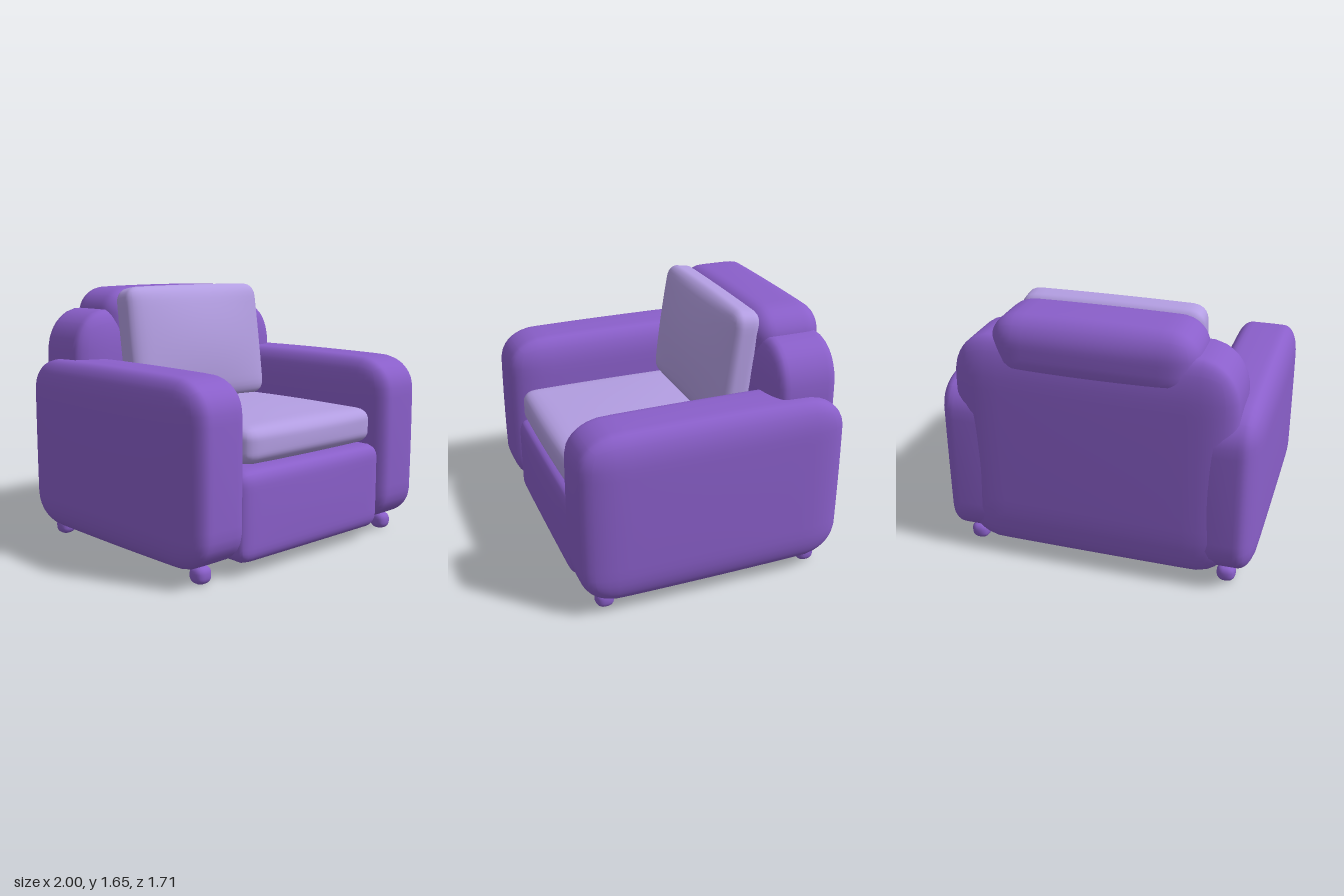
import * as THREE from 'three';
import { mergeVertices } from 'three/addons/utils/BufferGeometryUtils.js';

// Upholstered block: size [w,h,d], corner radius per axis, and how far each
// pair of faces sinks (as a fraction) from its middle towards its edges.
function softBox(size, radius, puff = [0, 0, 0], n = 22) {
  let geo = new THREE.BoxGeometry(2, 2, 2, n, n, n);
  geo.deleteAttribute('normal');
  geo.deleteAttribute('uv');
  geo = mergeVertices(geo, 1e-5);
  const pos = geo.attributes.position;
  const half = size.map((s) => s / 2);
  for (let i = 0; i < pos.count; i++) {
    const t = [pos.getX(i), pos.getY(i), pos.getZ(i)];
    // crowd the grid towards the edges, then round them in radius units
    const v = t.map((c, k) => (Math.sin((c * Math.PI) / 2) * half[k]) / radius[k]);
    const core = v.map((c, k) => {
      const lim = half[k] / radius[k] - 1;
      return Math.min(lim, Math.max(-lim, c));
    });
    const dir = new THREE.Vector3(...v.map((c, k) => c - core[k])).normalize().toArray();
    const p = core.map((c, k) => (c + dir[k]) * radius[k]);
    const u = p.map((c, k) => 1 - (c / half[k]) ** 2);
    const q = p.map((c, k) => c * (1 - puff[k] * (1 - u[(k + 1) % 3] * u[(k + 2) % 3])));
    pos.setXYZ(i, ...q);
  }
  geo.computeVertexNormals();
  return geo;
}

export function createModel() {
  const group = new THREE.Group();
  const purple = new THREE.MeshStandardMaterial({ color: 0x8a5fca });
  purple.name = 'purple upholstery';
  const lilac = new THREE.MeshStandardMaterial({ color: 0xb39ee2 });
  lilac.name = 'lilac cushion';

  const add = (name, geo, mat, x, y, z) => {
    const mesh = new THREE.Mesh(geo, mat);
    mesh.name = name;
    mesh.position.set(x, y, z);
    group.add(mesh);
    return mesh;
  };

  // Seat base between the arms
  add('seatBase', softBox([1.3, 0.56, 1.53], [0.09, 0.09, 0.07], [0.03, 0.01, 0.01]), purple, 0, 0.355, 0.065);

  // Backrest and the head roll resting on it
  add('backrest', softBox([1.74, 1.42, 0.475], [0.24, 0.28, 0.09], [0.01, 0.01, 0.03]), purple, 0, 0.79, -0.6175);
  add('headRoll', softBox([1.26, 0.44, 0.49], [0.17, 0.17, 0.13], [0.02, 0.06, 0.04]), purple, 0, 1.42, -0.61);

  // Arms and feet, mirrored left and right
  const armGeo = softBox([0.43, 1.11, 1.7], [0.1, 0.2, 0.24], [0.03, 0.025, 0.015]);
  const footGeo = softBox([0.116, 0.11, 0.116], [0.05, 0.045, 0.05], [0, 0, 0], 12);
  for (const [side, s] of [['left', 1], ['right', -1]]) {
    add(side + 'Arm', armGeo, purple, s * 0.785, 0.635, 0.005);
    add(side + 'FrontFoot', footGeo, purple, s * 0.82, 0.055, 0.68);
    add(side + 'BackFoot', footGeo, purple, s * 0.82, 0.055, -0.68);
  }

  // Loose cushions
  add('seatCushion', softBox([1.15, 0.28, 1.22], [0.09, 0.09, 0.09], [0.01, 0.2, 0.02]), lilac, 0, 0.76, 0.2);
  const back = add('backCushion', softBox([1.15, 0.79, 0.3], [0.09, 0.09, 0.09], [0.01, 0.02, 0.38]), lilac, 0, 1.25, -0.31);
  back.rotation.x = -0.14;

  return group;
}
